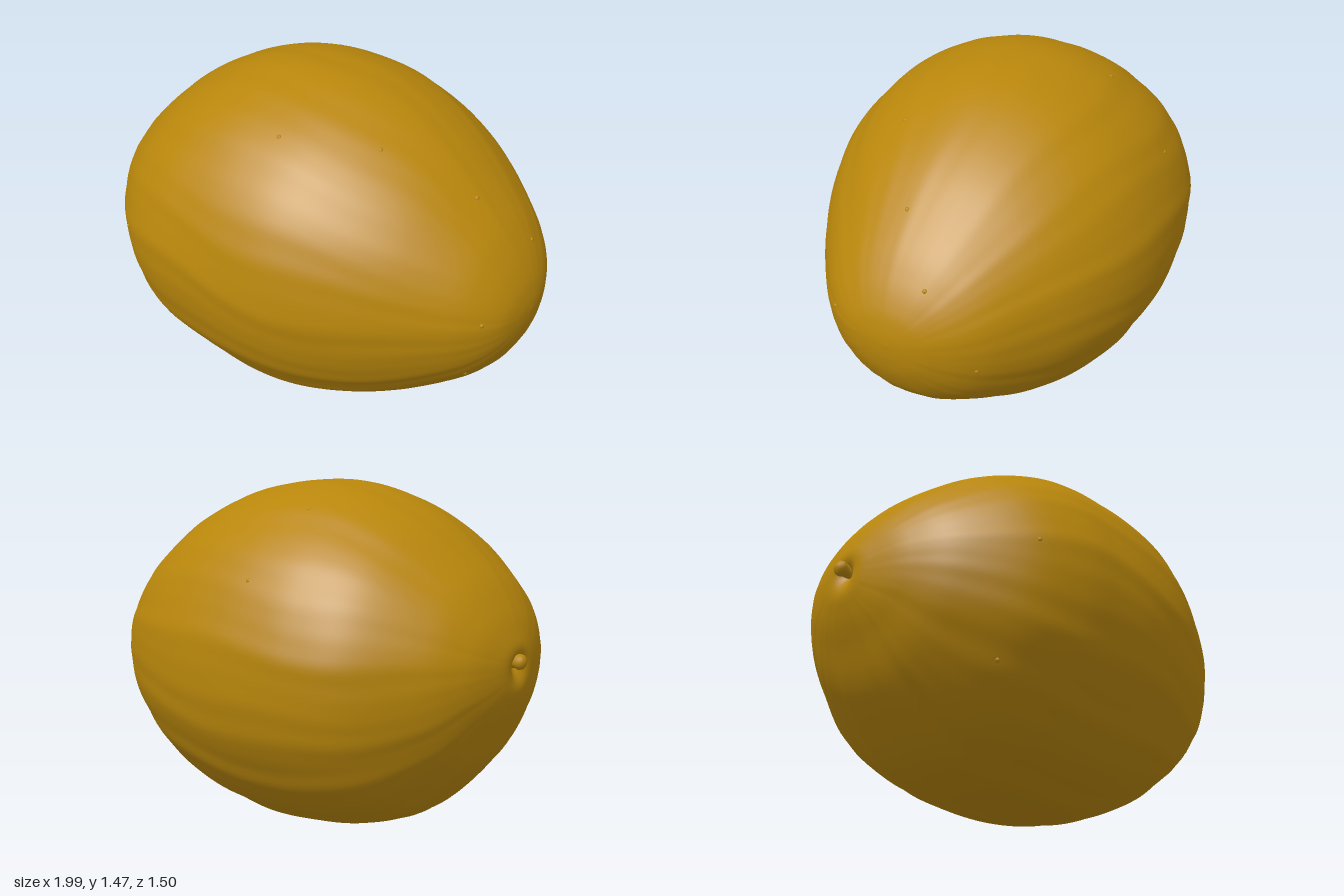
import * as THREE from 'three';
import { mergeVertices } from 'three/addons/utils/BufferGeometryUtils.js';

// Outline stations along the melon: x, top y, bottom y, back z, front z
const stations = [
  [-0.93, 0.78, 0.78, 0, 0],
  [-0.967, 0.84, 0.70, -0.08, 0.07],
  [-0.95, 0.91, 0.62, -0.19, 0.17],
  [-0.9, 1.01, 0.51, -0.32, 0.32],
  [-0.8, 1.14, 0.33, -0.46, 0.48],
  [-0.6, 1.31, 0.13, -0.64, 0.65],
  [-0.4, 1.415, 0.045, -0.72, 0.73],
  [-0.2, 1.468, 0.012, -0.75, 0.75],
  [0, 1.473, 0.0, -0.753, 0.75],
  [0.2, 1.445, 0.025, -0.73, 0.72],
  [0.4, 1.37, 0.085, -0.67, 0.645],
  [0.6, 1.25, 0.185, -0.565, 0.535],
  [0.8, 1.075, 0.325, -0.405, 0.39],
  [0.9, 0.955, 0.43, -0.29, 0.295],
  [0.96, 0.85, 0.54, -0.175, 0.2],
  [0.985, 0.77, 0.63, -0.08, 0.1],
  [0.993, 0.71, 0.71, 0, 0],
];
const spline = (a, b) => new THREE.CatmullRomCurve3(
  stations.map((s) => new THREE.Vector3(s[0], s[a], s[b])), false, 'catmullrom', 0.5);
const heights = spline(1, 2);
const widths = spline(3, 4);

// Shallow lengthwise wrinkles that wander a little and are strongest low down
function wrinkle(x, a) {
  const w = a + 0.05 * Math.sin(3 * x + 2 * a) + 0.025 * Math.sin(8 * x + 5 * a);
  const wave = 0.45 * Math.sin(13 * w + 1) + 0.35 * Math.sin(22 * w + 0.6 * Math.sin(4 * x))
    + 0.2 * Math.sin(37 * w + 3 * x);
  const strength = 0.0045 + 0.004 * (0.5 - 0.5 * Math.sin(a));
  return 1 + strength * (wave - 0.5);
}

// Point on the rind at t along the length and angle a (0 = front, up positive)
function rindPoint(t, a) {
  const h = heights.getPoint(t);
  const w = widths.getPoint(t);
  const cy = THREE.MathUtils.lerp(0.78, 0.71, t);
  const s = Math.sin(a), c = Math.cos(a);
  const k = wrinkle(h.x, a);
  const ry = s > 0 ? h.y - cy : cy - h.z;
  const rz = c > 0 ? w.z : -w.y;
  return new THREE.Vector3(h.x, cy + ry * s * k, rz * c * k);
}

function rindGeometry(rows, cols) {
  const positions = [], index = [];
  for (let i = 0; i <= rows; i++) {
    for (let j = 0; j < cols; j++) {
      positions.push(...rindPoint(i / rows, (j / cols) * Math.PI * 2).toArray());
    }
  }
  for (let i = 0; i < rows; i++) {
    for (let j = 0; j < cols; j++) {
      const n = (j + 1) % cols;
      const a = i * cols + j, b = a + cols, c = (i + 1) * cols + n, d = i * cols + n;
      index.push(a, b, c, a, c, d);
    }
  }
  let g = new THREE.BufferGeometry();
  g.setAttribute('position', new THREE.Float32BufferAttribute(positions, 3));
  g.setIndex(index);
  g = mergeVertices(g, 1e-5);
  g.computeVertexNormals();
  return g;
}

// Length parameter at which the rind reaches x, past the stem dimple
function paramAt(x) {
  let lo = 0.1, hi = 1;
  for (let i = 0; i < 24; i++) {
    const mid = (lo + hi) / 2;
    if (heights.getPoint(mid).x < x) lo = mid; else hi = mid;
  }
  return lo;
}

export function createModel() {
  const melon = new THREE.Group();
  melon.name = 'melon';
  const rindColour = new THREE.MeshStandardMaterial({ color: 0xb8860b });
  rindColour.name = 'golden rind';

  const rind = new THREE.Mesh(rindGeometry(128, 192), rindColour);
  rind.name = 'rind';
  melon.add(rind);

  // Stem stub at the pointed dimple
  const profile = [[0, 0.068], [0.016, 0.066], [0.028, 0.056], [0.031, 0.042], [0.025, 0.026],
    [0.027, 0.012], [0.04, 0]].map(([r, y]) => new THREE.Vector2(r, y)).reverse();
  const stem = new THREE.Mesh(new THREE.LatheGeometry(profile, 20), rindColour);
  stem.name = 'stem';
  stem.rotation.z = Math.PI / 2;
  stem.position.set(-0.932, 0.8, -0.015);
  melon.add(stem);

  // Tiny blemish bumps: x, angle in degrees
  const speckGeometry = new THREE.SphereGeometry(0.011, 8, 6);
  const spots = [[0.07, 56], [0.41, 69], [-0.67, 61], [-0.58, 5], [0.92, 10], [-0.62, -40],
    [-0.24, 120], [-0.17, 150], [0.73, 85], [0.9, 115], [0.87, 200], [0.85, -50]];
  for (const [x, degrees] of spots) {
    const speck = new THREE.Mesh(speckGeometry, rindColour);
    speck.name = 'blemish';
    const a = THREE.MathUtils.degToRad(degrees);
    const p = rindPoint(paramAt(x), a);
    const inward = new THREE.Vector3(0, 0.74, 0).sub(p).normalize();
    speck.position.copy(p).addScaledVector(inward, 0.006);
    melon.add(speck);
  }
  return melon;
}
